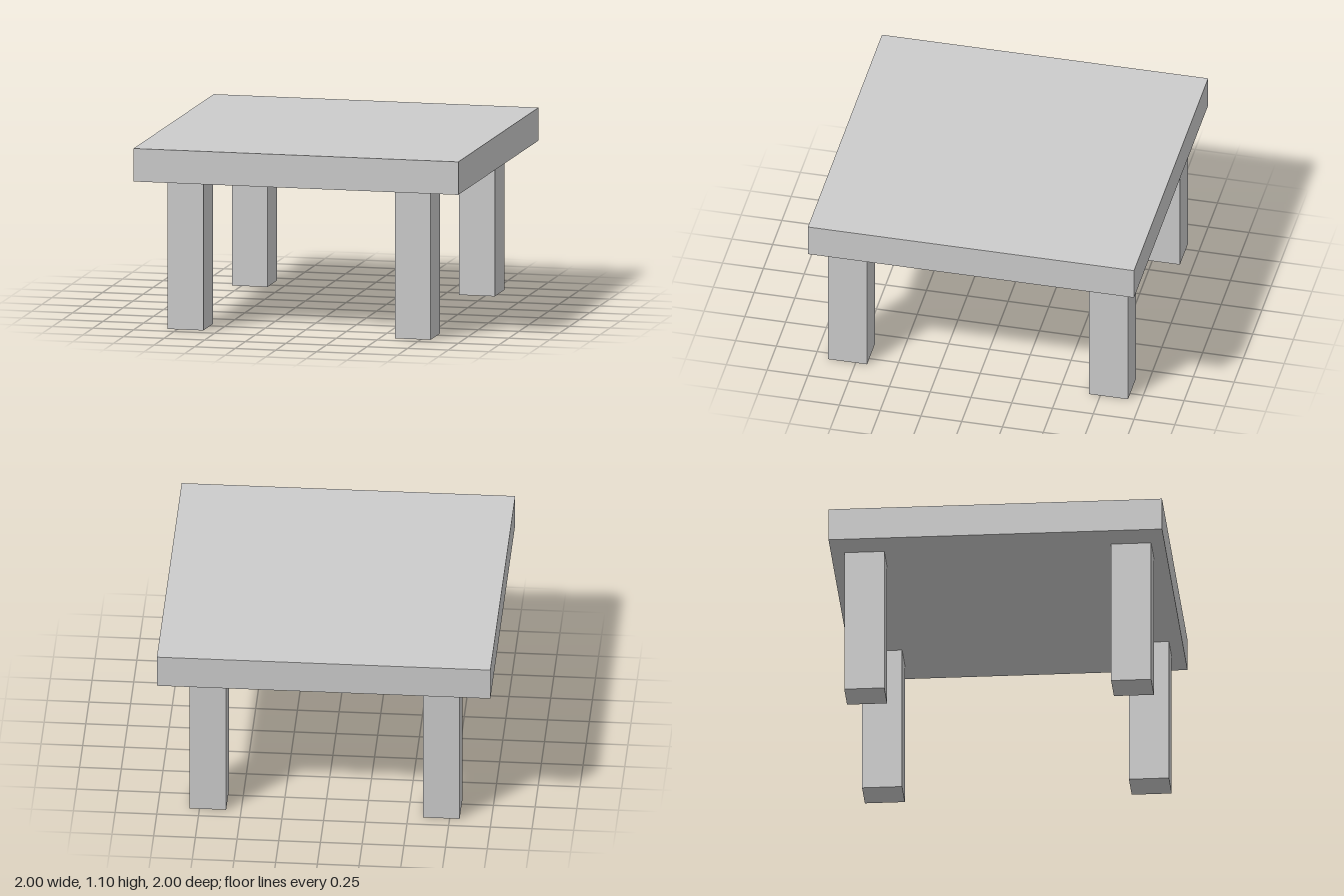
import * as THREE from 'three';

export function createModel() {
  const table = new THREE.Group();
  table.name = 'table';
  const material = new THREE.MeshStandardMaterial({ color: 0xcccccc });

  const addBox = (name, [w, h, d], [x, y, z]) => {
    const mesh = new THREE.Mesh(new THREE.BoxGeometry(w, h, d), material);
    mesh.name = name;
    mesh.position.set(x, y, z);
    table.add(mesh);
  };

  // Square slab top
  addBox('tableTop', [2, 0.2, 2], [0, 1, 0]);

  // Four legs, set in from the corners
  for (const [side, x] of [['Left', 0.7], ['Right', -0.7]]) {
    for (const [end, z] of [['front', 0.8], ['back', -0.8]]) {
      addBox(`${end}${side}Leg`, [0.22, 0.9, 0.24], [x, 0.45, z]);
    }
  }
  return table;
}
